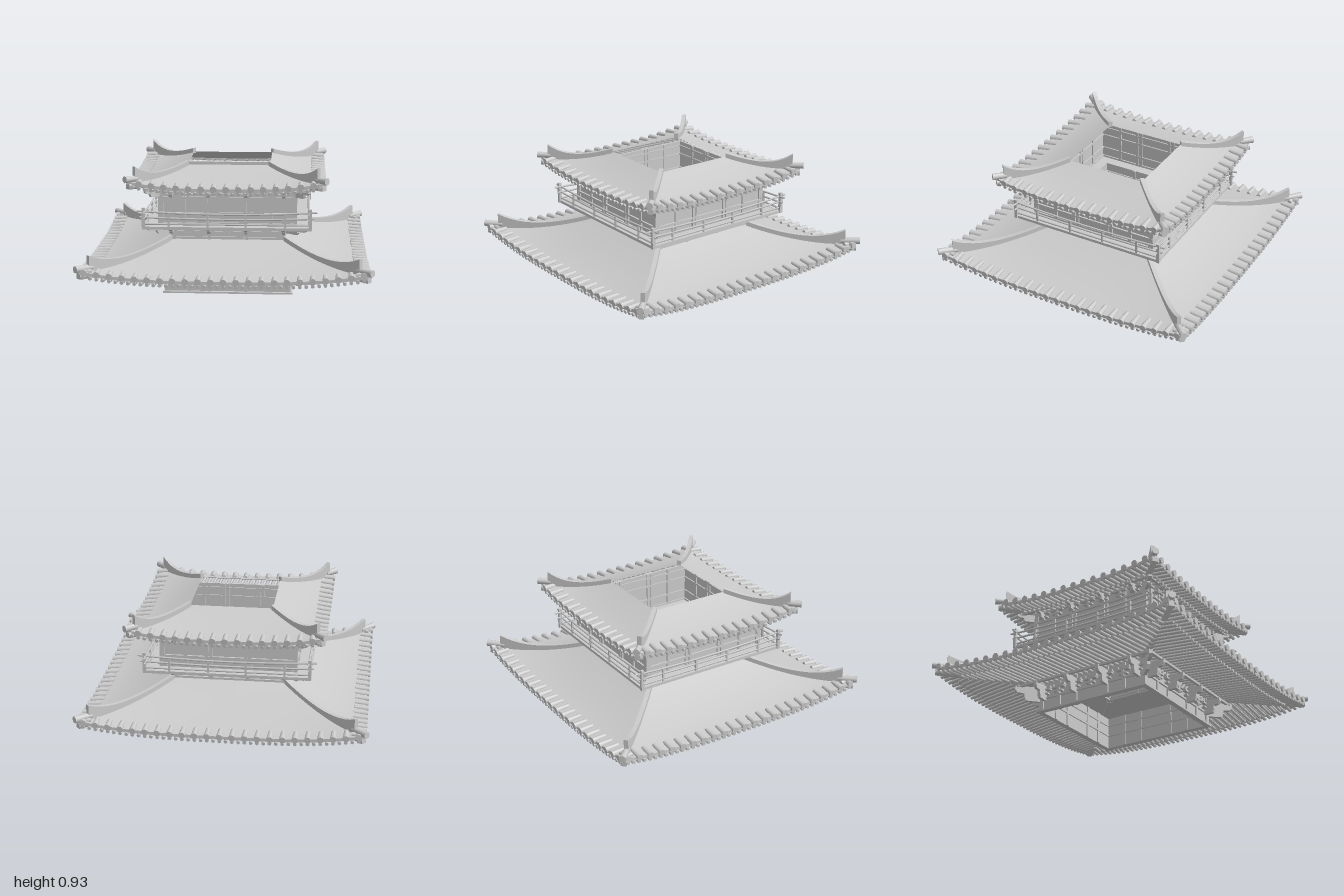
import * as THREE from 'three';
import { mergeGeometries } from 'three/addons/utils/BufferGeometryUtils.js';

const grey = new THREE.MeshStandardMaterial({ color: 0xcccccc, side: THREE.DoubleSide });
const V = (x, y, z) => new THREE.Vector3(x, y, z);

// One named mesh merged from several geometries
function part(name, geos) {
  const mesh = new THREE.Mesh(mergeGeometries(geos.map(g => (g.index ? g.toNonIndexed() : g))), grey);
  mesh.name = name;
  return mesh;
}

function box(w, h, d, x, y, z) {
  return new THREE.BoxGeometry(w, h, d).translate(x, y, z);
}

// Straight bar between two points; four sides gives a square beam
function rod(a, b, ra, rb = ra, sides = 8) {
  const g = new THREE.CylinderGeometry(rb, ra, a.distanceTo(b), sides);
  if (sides === 4) g.rotateY(Math.PI / 4);
  g.rotateX(Math.PI / 2);
  g.applyMatrix4(new THREE.Matrix4().lookAt(b, a, V(0, 1, 0)));
  const mid = a.clone().add(b).multiplyScalar(0.5);
  return g.translate(mid.x, mid.y, mid.z);
}

// Side outline (outward, height) extruded to a thin slab
function slab(points, thick) {
  const shape = new THREE.Shape(points.map(p => new THREE.Vector2(p[0], p[1])));
  return new THREE.ExtrudeGeometry(shape, { depth: thick, bevelEnabled: false }).translate(0, 0, -thick / 2);
}

// Grid surface from f(u, v), u in -1..1, v in 0..1
function patch(f, nu, nv) {
  const pos = [], uv = [], idx = [];
  for (let j = 0; j <= nv; j++) for (let i = 0; i <= nu; i++) {
    const p = f((2 * i) / nu - 1, j / nv);
    pos.push(p.x, p.y, p.z);
    uv.push(i / nu, j / nv);
    if (i < nu && j < nv) {
      const a = j * (nu + 1) + i, b = a + nu + 1;
      idx.push(a, b, a + 1, a + 1, b, b + 1);
    }
  }
  const g = new THREE.BufferGeometry();
  g.setAttribute('position', new THREE.Float32BufferAttribute(pos, 3));
  g.setAttribute('uv', new THREE.Float32BufferAttribute(uv, 2));
  g.setIndex(idx);
  g.computeVertexNormals();
  return g;
}

// One quarter of a hipped roof with curved eaves
function roofSide(r) {
  const g = new THREE.Group();
  const at = (u, t) => {
    const w = r.inner + (r.outer - r.inner) * t;
    const slope = Math.pow(Math.max(0, 1 - t), r.curve);
    return V(u * w, r.eave + (r.top - r.eave) * slope + r.lift * Math.abs(u) ** 3 * t * t, w);
  };
  const above = (x, z) => {
    const p = at(THREE.MathUtils.clamp(x / z, -1, 1), (z - r.inner) / (r.outer - r.inner));
    return V(x, p.y, z);
  };
  g.add(part('roofSlope', [patch(at, 32, 12)]));
  g.add(part('eaveBoard', [patch((u, v) => at(u, 1).add(V(0, -0.022 * v, 0)), 32, 1)]));

  // Round tile ends along the eave
  const tiles = [];
  for (let k = -r.tiles; k <= r.tiles; k++) {
    const x = k * 0.0845;
    tiles.push(rod(above(x, r.outer - 0.085), above(x, r.outer).add(V(0, -0.002, 0.015)), 0.016, 0.023, 10));
  }
  g.add(part('eaveTiles', tiles));

  // Rafters under the slope, cut short by the hip
  const rafters = [], pitch = 0.04225;
  const n = Math.floor((r.outer - 0.02) / pitch);
  for (let k = -n; k <= n; k++) {
    const x = k * pitch, z0 = Math.max(r.wall, Math.abs(x));
    const end = above(x, r.outer).add(V(0, -0.035, 0.008));
    const s = (r.outer - z0) / (r.outer - r.wall);
    const y0 = Math.min(end.y + r.rise * s, above(x, z0).y - 0.03);
    rafters.push(rod(V(x, y0, z0), end, 0.013, 0.013, 6));
    // Short second tier set back from the edge
    if (z0 < r.outer - 0.14) {
      rafters.push(rod(V(x, y0 - 0.018, z0), end.clone().add(V(0, -0.014, -0.09)), 0.011, 0.011, 6));
    }
  }
  g.add(part('rafters', rafters));

  // Hip ridge, sweeping up to a blunt horn, with its corner tile and beam
  const upper = [], lower = [], R2 = Math.SQRT2;
  for (let i = 0; i <= 14; i++) {
    const t = (i / 14) * 0.9, p = at(1, t);
    lower.push([p.x * R2, p.y - 0.012]);
    upper.unshift([p.x * R2, p.y + 0.028 + 0.075 * (t / 0.9) ** 4]);
  }
  g.add(part('hipRidge', [slab([...lower, ...upper], 0.03).rotateY(-Math.PI / 4)]));
  const tail = at(1, 0.86).add(V(0, 0.02, 0)), tip = at(1, 1).add(V(0.018, 0.015, 0.018));
  g.add(part('cornerTile', [rod(tail, tip, 0.02, 0.024, 10)]));
  const corner = at(1, 1).add(V(0, -0.035, 0));
  g.add(part('hipBeam', [rod(V(r.wall, r.eave + 0.01, r.wall), corner, 0.03, 0.026, 4)]));
  return g;
}

// One wall of a storey: panel, posts, beams and bracket ornaments
function wallSide(w, y0, y1, posts, beams, bracketY) {
  const g = new THREE.Group(), h = y1 - y0, mid = (y0 + y1) / 2;
  g.add(part('wallPanel', [box(2 * w, h, 0.016, 0, mid, w - 0.018)]));
  const frame = posts.map(x => box(0.022, h, 0.036, x, mid, w - 0.016));
  beams.forEach(y => frame.push(box(2 * w, 0.014, 0.038, 0, y, w - 0.016)));
  g.add(part('wallFrame', frame));
  const arms = [], z = w + 0.004;
  for (const x of [-0.39, -0.27, -0.13, 0, 0.13, 0.27, 0.39]) {
    arms.push(box(0.07, 0.012, 0.03, x, bracketY - 0.03, z), box(0.1, 0.012, 0.03, x, bracketY, z));
    arms.push(box(0.018, 0.05, 0.026, x, bracketY - 0.025, z));
    for (const s of [-1, 1]) arms.push(box(0.02, 0.018, 0.03, x + s * 0.045, bracketY + 0.014, z));
  }
  g.add(part('bracketArms', arms));
  return g;
}

// Stepped brackets reaching outward at the bays and at the corner
function brackets(w, y, reach, h) {
  const outline = [[-0.02, 0], [0.55, 0.02], [0.62, 0.3], [0.62, 0.5], [0.9, 0.55], [1, 0.75], [1, 1], [-0.02, 1]];
  const make = k => slab(outline.map(p => [p[0] * reach * k, p[1] * h]), 0.024);
  const geos = [-0.13, 0.13, -0.39, 0.39].map(x => make(1).rotateY(-Math.PI / 2).translate(x, y, w));
  geos.push(make(Math.SQRT2).rotateY(-Math.PI / 4).translate(w, y, w));
  geos.push(box(2 * (w + reach), 0.016, 0.02, 0, y + h, w + reach - 0.02));
  return part('eaveBrackets', geos);
}

// Balcony deck edge and railing with gently upturned rails
function balconySide() {
  const g = new THREE.Group(), z = 0.565;
  const deck = patch((u, v) => V(u * (0.38 + 0.19 * v), 0.5, 0.38 + 0.19 * v), 1, 1);
  g.add(part('balconyDeck', [deck, box(1.15, 0.02, 0.02, 0, 0.492, z)]));
  const rails = [[0.59, 0.02, 0.62], [0.555, 0.012, 0.6], [0.52, 0, 0.57]].map(([y, up, half]) => {
    const pts = [-1, -0.6, 0, 0.6, 1].map(s => V(s * half, y + up * s * s, z));
    return new THREE.TubeGeometry(new THREE.CatmullRomCurve3(pts), 16, 0.007, 6);
  });
  g.add(part('rails', rails));
  const posts = [-0.4, -0.13, 0.13, 0.4].map(x => box(0.014, 0.1, 0.014, x, 0.545, z));
  posts.push(box(0.022, 0.15, 0.022, z + 0.008, 0.56, z + 0.008));
  g.add(part('railPosts', posts));
  return g;
}

export function createModel() {
  const model = new THREE.Group();
  model.name = 'pagodaTower';
  const lowerRoof = { inner: 0.4, outer: 0.965, top: 0.38, eave: 0.218, lift: 0.06, curve: 1.6, tiles: 11, wall: 0.43, rise: 0.05 };
  const upperRoof = { inner: 0.29, outer: 0.665, top: 0.892, eave: 0.785, lift: 0.048, curve: 1.5, tiles: 7, wall: 0.47, rise: 0.025 };
  ['front', 'left', 'back', 'right'].forEach((name, i) => {
    const side = new THREE.Group();
    side.name = name + 'Side';
    const add = (label, obj) => { obj.name = label; side.add(obj); };
    // Ground storey
    add('groundWall', wallSide(0.44, 0, 0.24, [-0.43, -0.27, -0.13, 0.13, 0.27, 0.43], [0.1, 0.18], 0.155));
    add('plinth', box2mesh());
    add('groundBrackets', brackets(0.44, 0.075, 0.125, 0.11));
    add('lowerRoof', roofSide(lowerRoof));
    // Neck under the balcony
    add('neckWall', wallSide(0.4, 0.37, 0.5, [-0.39, -0.13, 0.13, 0.39], [0.39, 0.43], 0.475));
    add('balconyBrackets', brackets(0.4, 0.435, 0.15, 0.055));
    add('balcony', balconySide());
    // Upper storey
    add('upperWall', wallSide(0.48, 0.5, 0.79, [-0.47, -0.3, -0.15, -0.12, 0.12, 0.15, 0.3, 0.47], [0.508, 0.58, 0.69, 0.755], 0.745));
    add('upperBrackets', brackets(0.48, 0.7, 0.085, 0.055));
    add('upperRoof', roofSide(upperRoof));
    side.rotation.y = (i * Math.PI) / 2;
    model.add(side);
  });
  return model;
}

// Low sill under the ground wall
function box2mesh() {
  return part('plinth', [box(0.91, 0.012, 0.04, 0, 0.006, 0.435)]);
}
